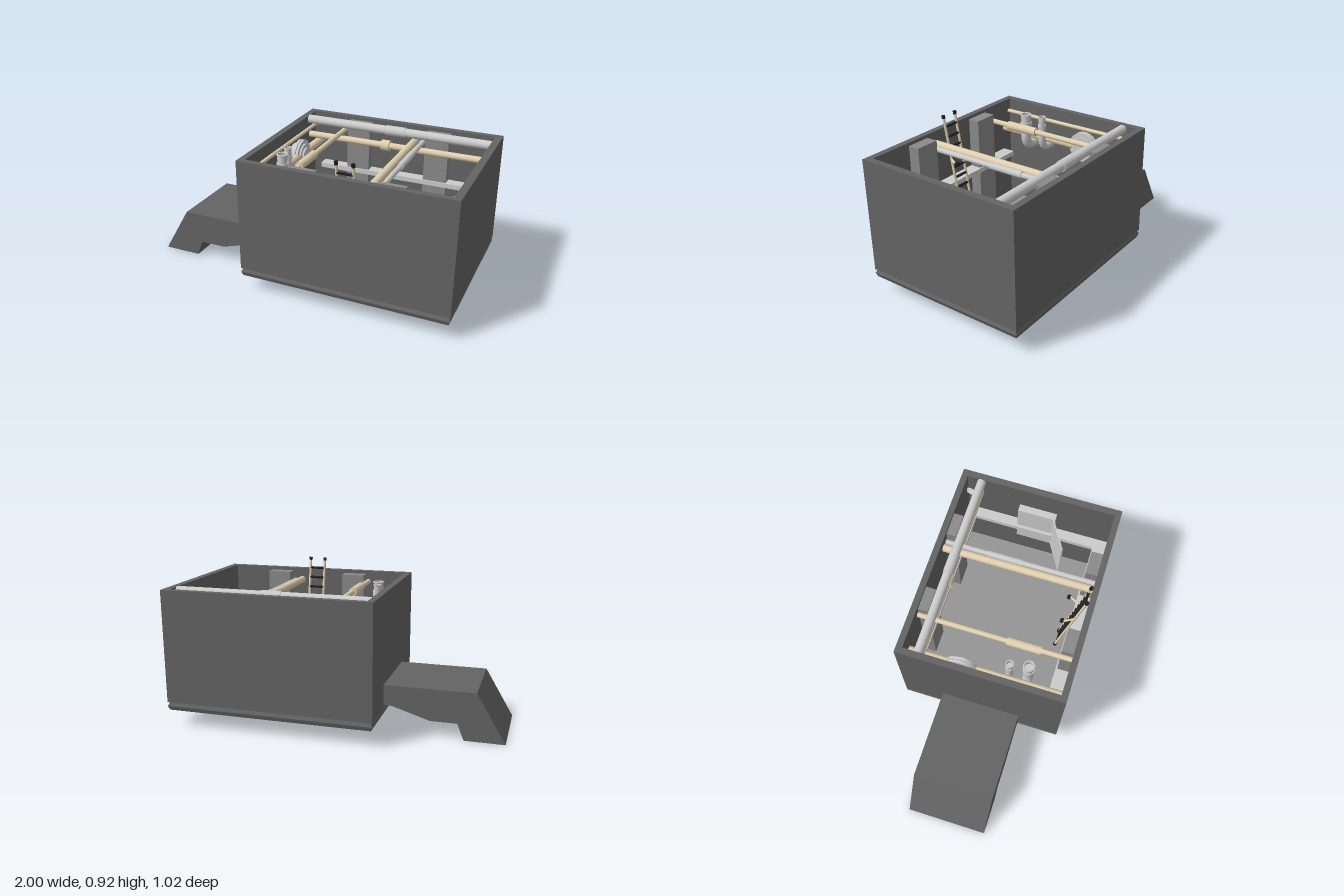
import * as THREE from 'three';

const mat = (color, extra = {}) => new THREE.MeshStandardMaterial({ color, ...extra });
const GREY = mat(0xcccccc);
const GREY_OPEN = mat(0xcccccc, { side: THREE.DoubleSide });
const WALL = mat(0x646464);
const BASE = mat(0x646464, { flatShading: true });
const FLOOR = mat(0x959595);
const PILLAR = mat(0x8a8a8a);
const BEIGE = mat(0xe0cfae);
const BLACK = mat(0x222222);

export function createModel() {
  const model = new THREE.Group();

  const add = (name, geometry, material, parent = model) => {
    const mesh = new THREE.Mesh(geometry, material);
    mesh.name = name;
    parent.add(mesh);
    return mesh;
  };

  // Box given by its minimum and maximum corners
  const box = (name, a, b, material, parent) => {
    const mesh = add(name, new THREE.BoxGeometry(b[0] - a[0], b[1] - a[1], b[2] - a[2]), material, parent);
    mesh.position.set((a[0] + b[0]) / 2, (a[1] + b[1]) / 2, (a[2] + b[2]) / 2);
    return mesh;
  };

  // Straight round bar between two points
  const bar = (name, a, b, r, material, parent) => {
    const p = new THREE.Vector3(...a), q = new THREE.Vector3(...b);
    const dir = q.clone().sub(p);
    const mesh = add(name, new THREE.CylinderGeometry(r, r, dir.length(), 20), material, parent);
    mesh.position.copy(p).add(q).multiplyScalar(0.5);
    mesh.quaternion.setFromUnitVectors(new THREE.Vector3(0, 1, 0), dir.normalize());
    return mesh;
  };

  const rect = (Type, x0, x1, z) => {
    const path = new Type();
    path.moveTo(x0, -z).lineTo(x1, -z).lineTo(x1, z).lineTo(x0, z).closePath();
    return path;
  };

  // Outer walls, open at the top
  const wallShape = rect(THREE.Shape, -0.28, 1, 0.51);
  wallShape.holes.push(rect(THREE.Path, -0.24, 0.957, 0.472));
  const walls = add('walls', new THREE.ExtrudeGeometry(wallShape, { depth: 0.69, bevelEnabled: false }), WALL);
  walls.rotation.x = -Math.PI / 2;
  walls.position.y = 0.15;

  // Base plinth with a ridged edge
  const profile = [[0, 0.1], [0.985, 0.1], [1, 0.125], [0.98, 0.15], [0, 0.15]]
    .map(([r, y]) => new THREE.Vector2(r * Math.SQRT2, y));
  const base = add('base', new THREE.LatheGeometry(profile, 4, Math.PI / 4), BASE);
  base.scale.set(0.64, 1, 0.51);
  base.position.x = 0.36;
  box('floor', [-0.24, 0.15, -0.472], [0.957, 0.157, 0.472], FLOOR);

  // Bent side duct
  const ductShape = new THREE.Shape([
    [-1, 0], [-0.76, 0], [-0.72, 0.1], [-0.56, 0.1], [-0.33, 0.17],
    [-0.27, 0.17], [-0.27, 0.295], [-0.825, 0.295],
  ].map(([x, y]) => new THREE.Vector2(x, y)));
  const duct = add('sideDuct', new THREE.ExtrudeGeometry(ductShape, { depth: 0.5, bevelEnabled: false }), WALL);
  duct.position.z = -0.25;

  // Ledge around the inner walls, and wall pillars
  box('rightLedge', [0.89, 0.48, -0.4], [0.957, 0.51, 0.39], GREY);
  for (const s of [-1, 1]) {
    box('ledge', [-0.165, 0.48, s > 0 ? 0.39 : -0.472], [0.957, 0.51, s > 0 ? 0.472 : -0.4], GREY);
    for (const x of [0.02, 0.54])
      box('pillar', [x, 0.157, s > 0 ? 0.4 : -0.472], [x + 0.15, 0.82, s > 0 ? 0.472 : -0.41], PILLAR);
  }

  // Pipes along the back wall, each with a sleeve
  bar('backPipe', [-0.24, 0.815, -0.38], [0.957, 0.815, -0.38], 0.028, GREY);
  bar('backPipeSleeve', [0.295, 0.815, -0.38], [0.42, 0.815, -0.38], 0.032, GREY);
  bar('lowerBackPipe', [-0.24, 0.71, -0.385], [0.957, 0.71, -0.385], 0.021, BEIGE);
  bar('lowerBackPipeSleeve', [0.265, 0.71, -0.385], [0.32, 0.71, -0.385], 0.035, BEIGE);

  // Cross pipes: x, y, radius, material, optional sleeve span and radius
  const crossPipes = [
    [0.475, 0.76, 0.024, BEIGE],
    [0.522, 0.755, 0.016, GREY, -0.2, 0.02, 0.02],
    [0.005, 0.77, 0.016, BEIGE, 0.08, 0.29, 0.026],
    [-0.227, 0.76, 0.012, BEIGE],
    [-0.185, 0.66, 0.026, BEIGE],
  ];
  for (const [x, y, r, m, z0, z1, sr] of crossPipes) {
    bar('crossPipe', [x, y, -0.472], [x, y, 0.472], r, m);
    if (sr) bar('crossPipeSleeve', [x, y, z0], [x, y, z1], sr, m);
  }

  // Round flanged hatch on the left wall
  const hatch = new THREE.Group();
  hatch.name = 'roundHatch';
  model.add(hatch);
  for (const [x0, x1, r] of [[-0.24, -0.205, 0.065], [-0.205, -0.19, 0.095], [-0.185, -0.17, 0.095], [-0.19, -0.16, 0.07], [-0.16, -0.15, 0.045]])
    bar('hatchDisc', [x0, 0.66, -0.142], [x1, 0.66, -0.142], r, GREY, hatch);

  // Upright open vent pipes with an elbow at the foot
  for (const [x, z, r] of [[-0.14, 0.14, 0.026], [-0.12, 0.25, 0.036]]) {
    const vent = new THREE.Group();
    vent.name = 'ventPipe';
    model.add(vent);
    const path = new THREE.CatmullRomCurve3([
      [-0.24, 0.6, z], [-0.2, 0.6, z], [x - 0.02, 0.61, z], [x, 0.65, z], [x, 0.72, z], [x, 0.81, z],
    ].map(p => new THREE.Vector3(...p)));
    add('ventTube', new THREE.TubeGeometry(path, 24, r * 0.85, 20), GREY_OPEN, vent);
    const rim = add('ventRim', new THREE.TorusGeometry(r * 0.85, r * 0.15, 8, 24), GREY, vent);
    rim.rotation.x = Math.PI / 2;
    rim.position.set(x, 0.81, z);
    bar('ventCollar', [x, 0.74, z], [x, 0.76, z], r, GREY, vent);
    const inner = add('ventInside', new THREE.CircleGeometry(r * 0.82, 20), GREY, vent);
    inner.rotation.x = -Math.PI / 2;
    inner.position.set(x, 0.765, z);
  }

  // Leaning ladder against the front wall
  const ladder = new THREE.Group();
  ladder.name = 'ladder';
  model.add(ladder);
  const at = (x, y) => [x, y, 0.33 + (y - 0.157) * 0.175];
  for (const x of [0.308, 0.407]) {
    bar('ladderRail', at(x, 0.157), at(x, 0.905), 0.008, BEIGE, ladder);
    bar('ladderTip', at(x, 0.9), at(x, 0.92), 0.011, BLACK, ladder);
    bar('ladderFoot', at(x, 0.157), at(x, 0.18), 0.012, BLACK, ladder);
  }
  for (let i = 0; i < 11; i++) {
    const y = 0.22 + i * 0.063;
    bar('ladderRung', at(0.308, y), at(0.407, y), 0.008, BLACK, ladder);
  }
  // Stand-off hooks at mid height
  for (const s of [-1, 1]) {
    const x = 0.358 + s * 0.085, [, , z] = at(x, 0.65);
    bar('ladderHook', [x - s * 0.035, 0.65, z], [x, 0.65, 0.355], 0.007, BEIGE, ladder);
    bar('ladderHookKnob', [x - s * 0.015, 0.65, 0.345], [x + s * 0.008, 0.65, 0.345], 0.011, BLACK, ladder);
  }

  // Wall cabinet with its door standing open
  box('cabinet', [0.91, 0.38, -0.125], [0.957, 0.68, 0.12], GREY);
  const door = add('cabinetDoor', new THREE.BoxGeometry(0.22, 0.3, 0.008), GREY);
  door.position.set(0.815, 0.53, 0.165);
  door.rotation.y = Math.atan2(0.11, 0.19);

  // Small lamp in the back corner
  box('cornerLampMount', [0.925, 0.7, -0.472], [0.945, 0.73, -0.44], GREY);
  const lamp = add('cornerLamp', new THREE.CylinderGeometry(0.012, 0.022, 0.04, 16), GREY);
  lamp.position.set(0.93, 0.715, -0.44);
  lamp.rotation.x = -Math.PI / 2;

  return model;
}
